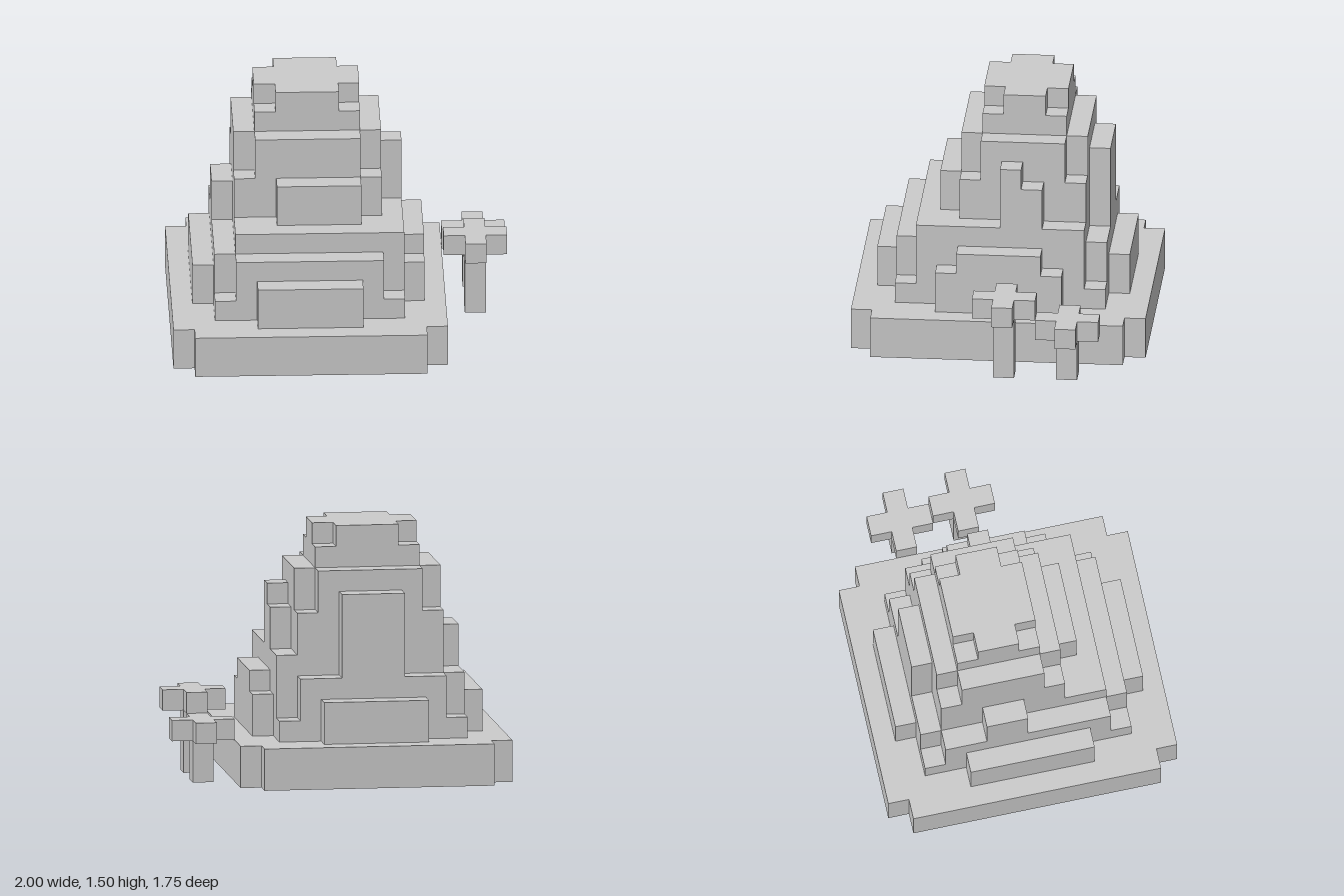
import * as THREE from 'three';

const U = 0.125; // size of one block

export function createModel() {
  const model = new THREE.Group();
  const material = new THREE.MeshStandardMaterial({ color: 0xcccccc, flatShading: true });

  const add = (parent, name, geometry) => {
    const mesh = new THREE.Mesh(geometry.scale(U, U, U), material);
    mesh.name = name;
    parent.add(mesh);
  };

  // Box given by its limits in blocks
  const block = (parent, name, [x0, x1], [y0, y1], [z0, z1]) =>
    add(parent, name, new THREE.BoxGeometry(x1 - x0, y1 - y0, z1 - z0)
      .translate((x0 + x1) / 2, (y0 + y1) / 2, (z0 + z1) / 2));

  // Slab with a square of n blocks cut out of each corner
  const notched = (parent, name, [x0, x1], [y0, y1], [z0, z1], n = 1) => {
    const a = -z1, b = -z0;
    const outline = [
      [x0 + n, a], [x1 - n, a], [x1 - n, a + n], [x1, a + n],
      [x1, b - n], [x1 - n, b - n], [x1 - n, b], [x0 + n, b],
      [x0 + n, b - n], [x0, b - n], [x0, a + n], [x0 + n, a + n],
    ].map(([x, y]) => new THREE.Vector2(x, y));
    add(parent, name, new THREE.ExtrudeGeometry(new THREE.Shape(outline), { depth: y1 - y0, bevelEnabled: false })
      .rotateX(-Math.PI / 2).translate(0, y0, 0));
  };

  const mound = new THREE.Group();
  mound.name = 'steppedMound';
  model.add(mound);

  // Stacked tiers
  notched(mound, 'base', [-8, 5], [0, 2], [-7, 7]);
  block(mound, 'lowerTierFoot', [-6, 3], [2, 3], [-5, 5]);
  notched(mound, 'lowerTier', [-6, 3], [3, 5], [-5, 5]);
  block(mound, 'middleTier', [-5, 3], [5, 6], [-4, 4]);
  block(mound, 'upperTierFoot', [-5, 2], [6, 8], [-4, 2]);
  notched(mound, 'upperTier', [-5, 2], [8, 10], [-4, 2]);
  block(mound, 'capFoot', [-4, 1], [10, 11], [-3, 1]);
  notched(mound, 'cap', [-4, 1], [11, 12], [-3, 1]);

  // Ledges round the lower tier
  block(mound, 'frontLedge', [-4, 1], [2, 4], [5, 6]);
  block(mound, 'backLedge', [-4, 1], [2, 4], [-6, -5]);
  block(mound, 'rightLedge', [-7, -6], [2, 4], [-3, 3]);
  block(mound, 'leftLedge', [3, 4], [2, 4], [-3, 3]);
  block(mound, 'leftLedgeTop', [3, 4], [4, 5], [-2, 2]);

  // Outcrops on the upper slopes
  block(mound, 'frontOutcrop', [-3, 1], [6, 8], [2, 3]);
  block(mound, 'backOutcrop', [-3, 0], [5, 9], [-5, -4]);
  block(mound, 'rightOutcrop', [-6, -5], [5, 7], [-2, 0]);
  block(mound, 'leftOutcrop', [2, 3], [6, 8], [-2, -1]);
  block(mound, 'leftOutcropTall', [2, 3], [6, 9], [-1, 0]);

  // Two small trees: a stem under a cross-shaped crown
  for (const [name, z, stem] of [['frontTree', -1, 3], ['backTree', -4, 2]]) {
    const tree = new THREE.Group();
    tree.name = name;
    block(tree, 'stem', [6, 7], [0, stem], [z, z + 1]);
    notched(tree, 'crown', [5, 8], [stem, stem + 1], [z - 1, z + 2]);
    model.add(tree);
  }

  return model;
}
